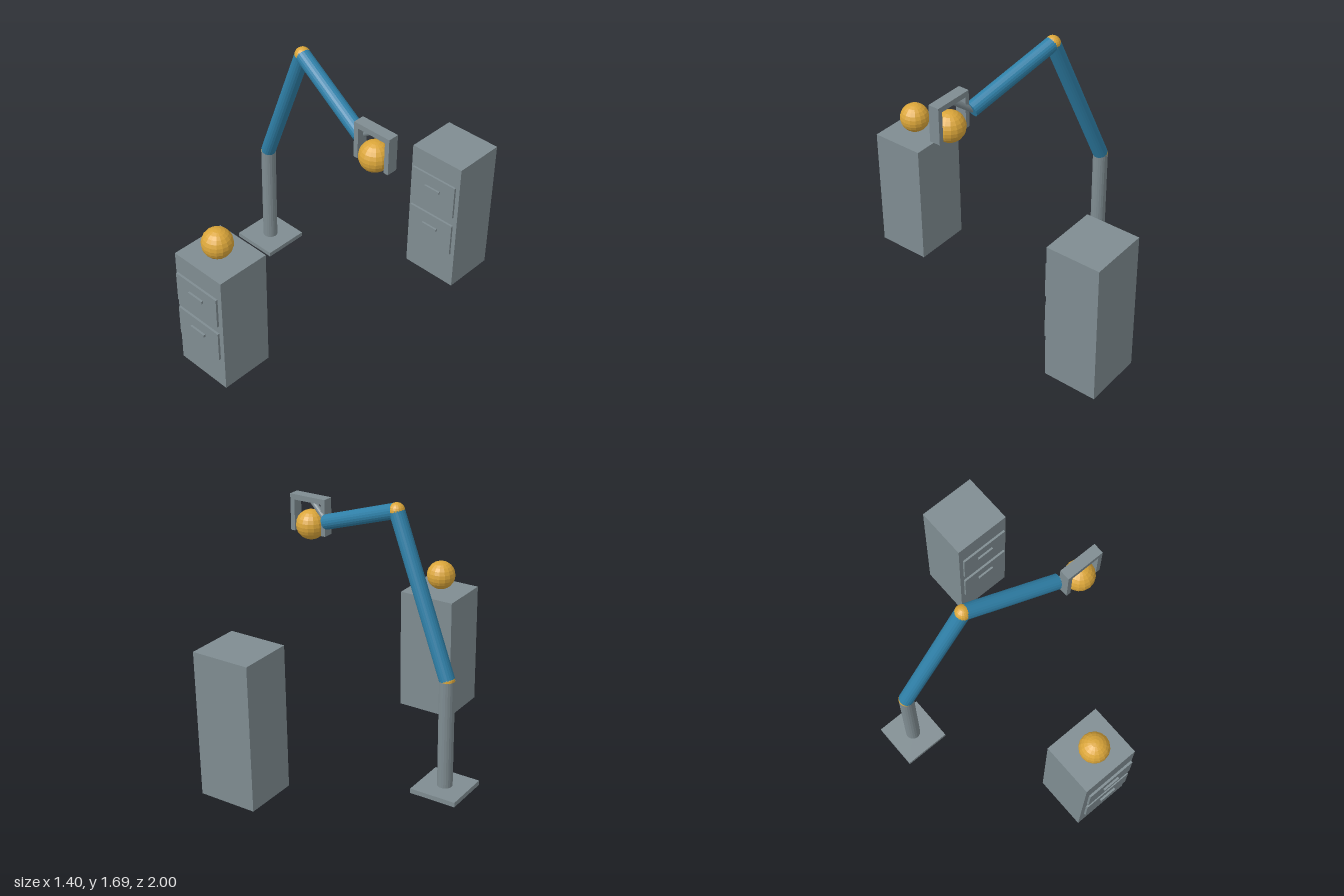
import * as THREE from 'three';

export function createModel() {
  const model = new THREE.Group();
  model.name = 'robotArmStation';

  const material = (name, color) => {
    const m = new THREE.MeshStandardMaterial({ color, flatShading: true });
    m.name = name;
    return m;
  };
  const grey = material('steelGrey', 0x7f8c91);
  const blue = material('armBlue', 0x2f80a8);
  const yellow = material('ballYellow', 0xdba63a);

  const add = (name, geometry, mat, position, parent = model) => {
    const mesh = new THREE.Mesh(geometry, mat);
    mesh.name = name;
    mesh.position.set(...position);
    parent.add(mesh);
    return mesh;
  };
  const box = (name, size, position, parent) =>
    add(name, new THREE.BoxGeometry(...size), grey, position, parent);
  const ball = (name, radius, position, parent) =>
    add(name, new THREE.SphereGeometry(radius, 16, 12), yellow, position, parent);

  // Cylinder running between two points
  const rod = (name, from, to, radius, mat, parent) => {
    const a = new THREE.Vector3(...from), b = new THREE.Vector3(...to);
    const dir = b.clone().sub(a);
    const geometry = new THREE.CylinderGeometry(radius, radius, dir.length(), 20);
    const mesh = add(name, geometry, mat, a.clone().add(b).multiplyScalar(0.5).toArray(), parent);
    mesh.quaternion.setFromUnitVectors(new THREE.Vector3(0, 1, 0), dir.normalize());
    return mesh;
  };

  // Arm: base plate, column, two links with ball joints
  const arm = new THREE.Group();
  arm.name = 'arm';
  model.add(arm);
  const shoulder = [-0.55, 0.72, -0.187];
  const elbow = [-0.15, 1.645, -0.097];
  const wrist = [0.428, 1.433, 0.033];
  box('basePlate', [0.3, 0.03, 0.3], [-0.55, 0.015, -0.187], arm);
  rod('column', [-0.55, 0.03, -0.187], shoulder, 0.047, grey, arm);
  ball('shoulderJoint', 0.047, shoulder, arm);
  rod('lowerLink', shoulder, elbow, 0.047, blue, arm);
  ball('elbowJoint', 0.048, elbow, arm);
  rod('upperLink', elbow, wrist, 0.047, blue, arm);

  // Gripper: top bar, two fingers, strut to the wrist and the held ball
  const gripper = new THREE.Group();
  gripper.name = 'gripper';
  gripper.position.set(0.57, 0, 0.07);
  model.add(gripper);
  rod('wristStrut', [-0.15, 1.43, -0.038], [0, 1.55, 0], 0.018, grey, gripper);
  box('gripperBar', [0.254, 0.034, 0.07], [0, 1.549, 0], gripper);
  for (const side of [-1, 1])
    box(side > 0 ? 'leftFinger' : 'rightFinger', [0.03, 0.2, 0.07], [side * 0.112, 1.433, 0], gripper);
  ball('heldBall', 0.094, [0, 1.382, 0], gripper);

  // Cabinets: body with two raised drawer fronts and handles
  const cabinet = (name, x, frontZ, height) => {
    const group = new THREE.Group();
    group.name = name;
    group.position.set(x, 0, frontZ);
    model.add(group);
    box('cabinetBody', [0.38, height, 0.347], [0, height / 2, -0.1735], group);
    for (const level of [0.406, 0.726]) {
      box('drawerFront', [0.335, height * 0.248, 0.014], [0, height * level, 0.015], group);
      box('drawerHandle', [0.115, 0.018, 0.013], [0, height * (level + 0.026), 0.0285], group);
    }
  };
  cabinet('frontCabinet', 0.07, 0.965, 0.815);
  cabinet('rearCabinet', 0.447, -0.653, 0.923);
  ball('restingBall', 0.094, [0.07, 0.91, 0.808]);

  return model;
}
